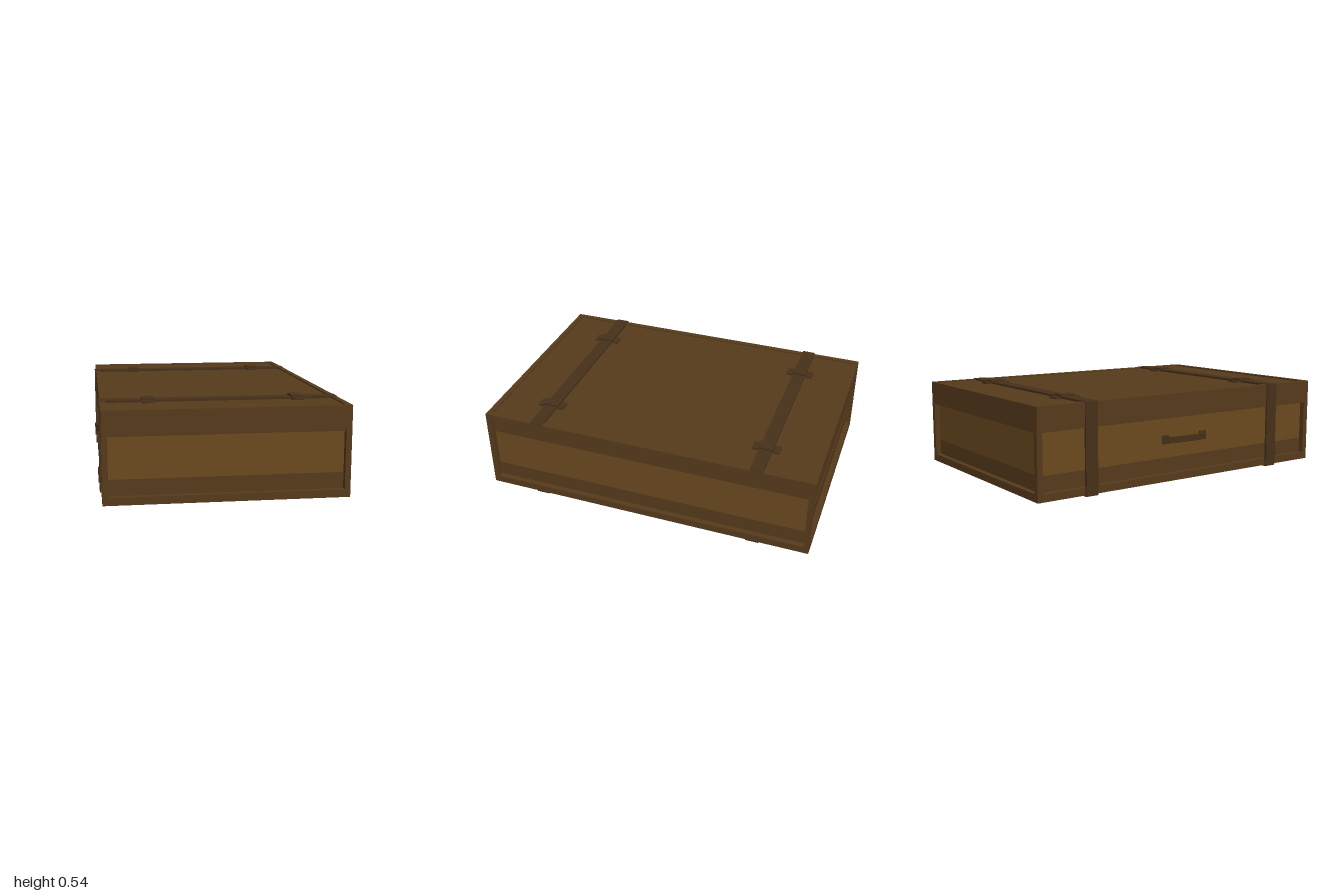
import * as THREE from 'three';

const X0 = -0.665, X1 = 0.675, Z = 1, POST = 0.032;
const dark = new THREE.MeshStandardMaterial({ color: 0x573b1c });
const light = new THREE.MeshStandardMaterial({ color: 0x6b4a1f });
const leather = new THREE.MeshStandardMaterial({ color: 0x46311a });

// Box given by its lower and upper limits on each axis
function box(parent, name, mat, x0, x1, y0, y1, z0, z1) {
  const mesh = new THREE.Mesh(new THREE.BoxGeometry(x1 - x0, y1 - y0, z1 - z0), mat);
  mesh.position.set((x0 + x1) / 2, (y0 + y1) / 2, (z0 + z1) / 2);
  mesh.name = name;
  parent.add(mesh);
  return mesh;
}

// Raised border around the top or bottom face
function rim(parent, name, y0, y1) {
  const g = new THREE.Group();
  g.name = name;
  for (const s of [-1, 1]) {
    const a = s * Z, b = s * (Z - POST);
    box(g, 'rimEnd', dark, X0, X1, y0, y1, Math.min(a, b), Math.max(a, b));
  }
  box(g, 'rimSide', dark, X0, X0 + POST, y0, y1, -Z + POST, Z - POST);
  box(g, 'rimSide', dark, X1 - POST, X1, y0, y1, -Z + POST, Z - POST);
  parent.add(g);
}

// Strap running over the top, down one side and under the bottom
function strap(z) {
  const g = new THREE.Group();
  g.name = 'strap';
  const z0 = z - 0.039, z1 = z + 0.039;
  box(g, 'strapTop', leather, X0 - 0.008, X1 - 0.001, 0.514, 0.528, z0, z1);
  box(g, 'strapBottom', leather, X0 - 0.008, X1 - 0.001, 0.01, 0.024, z0, z1);
  box(g, 'strapSide', leather, X0 - 0.008, X0 + 0.004, 0.024, 0.514, z0, z1);
  box(g, 'strapKeeper', leather, X0 - 0.014, X0 - 0.008, 0.07, 0.14, z0, z1);
  // Stepped loops that hold the strap on both faces
  for (const x of [-0.4, 0.44]) {
    for (const top of [true, false]) {
      const y = (a, b) => (top ? [a, b] : [0.54 - b, 0.54 - a]);
      for (const s of [-1, 1]) {
        const ends = [z + s * 0.045, z + s * 0.08].sort((a, b) => a - b);
        box(g, 'loopFoot', leather, x - 0.033, x + 0.033, ...y(0.514, 0.526), ...ends);
      }
      box(g, 'loopBridge', leather, x - 0.033, x + 0.033, ...y(0.522, 0.538), z - 0.045, z + 0.045);
    }
  }
  return g;
}

// Shallow bowed carrying handle
function handle() {
  const g = new THREE.Group();
  g.name = 'handle';
  const shape = new THREE.Shape();
  const outer = [[-0.15, 0], [-0.13, 0.03], [-0.08, 0.045], [0.08, 0.045], [0.13, 0.03], [0.15, 0]];
  const inner = [[0.125, 0], [0.11, 0.02], [0.07, 0.032], [-0.07, 0.032], [-0.11, 0.02], [-0.125, 0]];
  shape.setFromPoints([...outer, ...inner].map(([u, v]) => new THREE.Vector2(u, v)));
  const geo = new THREE.ExtrudeGeometry(shape, { depth: 0.036, bevelEnabled: false });
  geo.rotateX(-Math.PI / 2).rotateY(Math.PI / 2);
  const grip = new THREE.Mesh(geo, leather);
  grip.name = 'handleGrip';
  grip.position.set(X0 + POST, 0.238, 0);
  g.add(grip);
  for (const s of [-1, 1]) {
    box(g, 'handleMount', leather, X0 + POST - 0.005, X0 + POST + 0.005, 0.23, 0.282, s * 0.14 - 0.025, s * 0.14 + 0.025);
  }
  return g;
}

export function createModel() {
  const model = new THREE.Group();
  model.name = 'trunk';
  const ix0 = X0 + POST, ix1 = X1 - POST, iz = Z - POST;

  // Recessed walls in two tones
  box(model, 'lowerWallBand', dark, ix0, ix1, 0.06, 0.15, -iz, iz);
  box(model, 'middleWallBand', light, ix0, ix1, 0.15, 0.385, -iz, iz);

  // Deep lid border, set back on one long side
  box(model, 'lidBand', dark, X0, ix1, 0.385, 0.485, -Z, Z);
  box(model, 'lidPlate', dark, X0, X1, 0.485, 0.516, -Z, Z);
  box(model, 'basePlate', dark, X0, X1, 0.024, 0.06, -Z, Z);
  rim(model, 'topRim', 0.516, 0.524);
  rim(model, 'bottomRim', 0.017, 0.024);

  // Corner posts
  for (const s of [-1, 1]) {
    const [z0, z1] = s > 0 ? [iz, Z] : [-Z, -iz];
    box(model, 'cornerPost', dark, X0, ix0, 0.06, 0.385, z0, z1);
    box(model, 'cornerPost', dark, ix1, X1, 0.06, 0.485, z0, z1);
  }

  for (const s of [-1, 1]) model.add(strap(s * 0.668));
  model.add(handle());
  return model;
}
